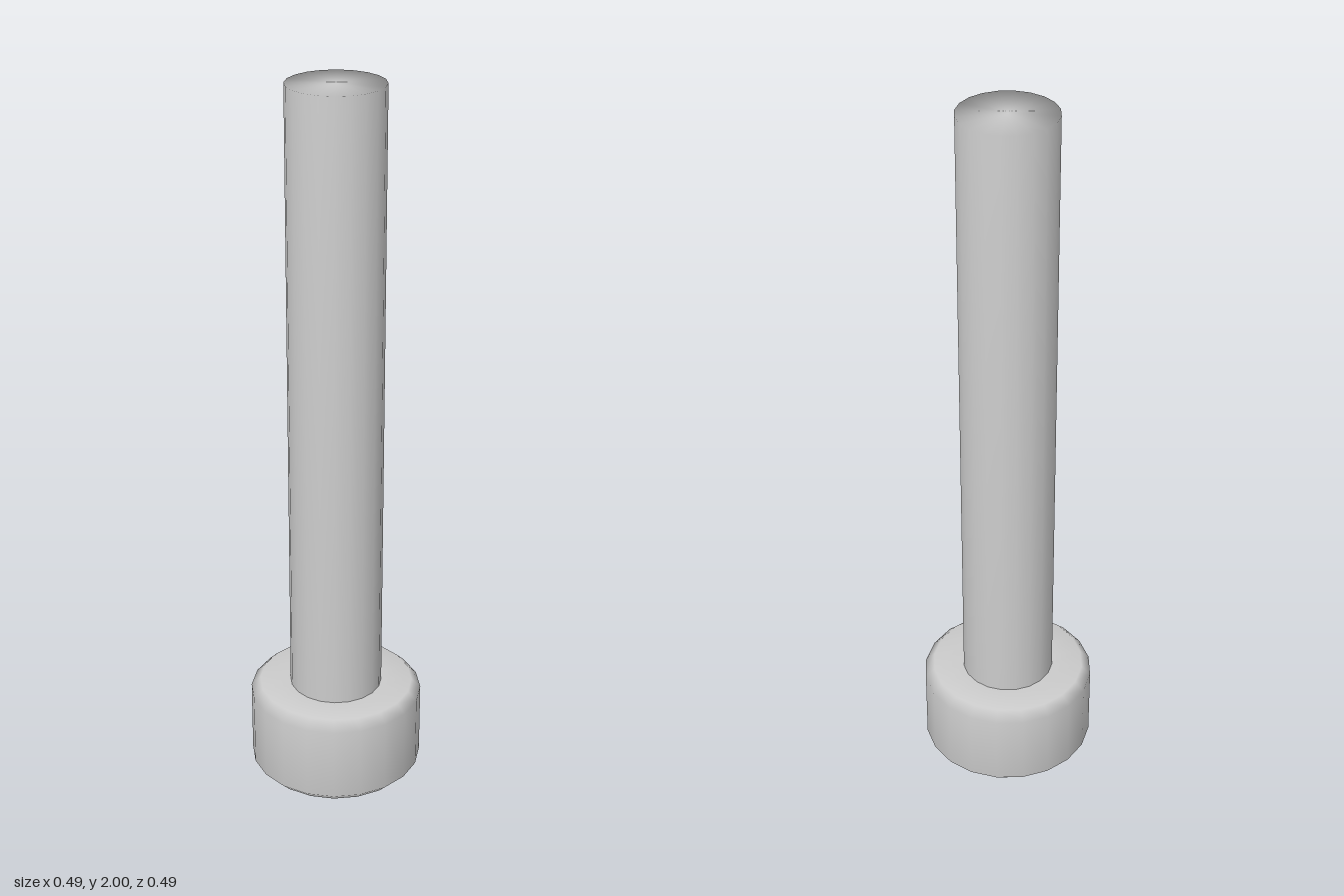
import * as THREE from 'three';

const SIDES = 20;
const SHAFT_R = 0.13, HEAD_R = 0.243, RIM_R = 0.217, HEAD_H = 0.265, CHAMFER = 0.026;
const SOCKET_R = 0.145, SOCKET_DEPTH = 0.15;

// points of a regular polygon with its first corner on +x
const polygon = (radius, sides) => Array.from({ length: sides }, (_, i) => {
  const a = (i / sides) * Math.PI * 2;
  return new THREE.Vector2(Math.cos(a) * radius, Math.sin(a) * radius);
});

const lathe = (profile) =>
  new THREE.LatheGeometry(profile.map(([r, y]) => new THREE.Vector2(r, y)), SIDES);

export function createModel() {
  const bolt = new THREE.Group();
  bolt.name = 'socketHeadBolt';
  const smooth = new THREE.MeshStandardMaterial({ color: 0xcccccc });
  const flat = new THREE.MeshStandardMaterial({ color: 0xcccccc, flatShading: true, side: THREE.DoubleSide });

  const add = (name, geometry, material, parent = bolt) => {
    const mesh = new THREE.Mesh(geometry, material);
    mesh.name = name;
    parent.add(mesh);
    return mesh;
  };

  // shaft with a softly shaded end
  add('shaft', lathe([[SHAFT_R, HEAD_H], [SHAFT_R, 2], [0, 2]]), smooth);

  // chamfered head, side and shoulder
  add('head', lathe([
    [RIM_R, 0], [HEAD_R, CHAMFER], [HEAD_R, HEAD_H - CHAMFER],
    [RIM_R, HEAD_H], [SHAFT_R, HEAD_H],
  ]), smooth);

  // underside of the head with a hexagonal opening
  const face = new THREE.Shape(polygon(RIM_R, SIDES));
  face.holes.push(new THREE.Path(polygon(SOCKET_R, 6).reverse()));
  add('headFace', new THREE.ShapeGeometry(face).rotateX(Math.PI / 2), smooth);

  // hexagonal socket: walls and floor
  const socket = new THREE.Group();
  socket.name = 'hexSocket';
  bolt.add(socket);
  const walls = new THREE.CylinderGeometry(SOCKET_R, SOCKET_R, SOCKET_DEPTH, 6, 1, true, Math.PI / 2);
  add('socketWalls', walls.translate(0, SOCKET_DEPTH / 2, 0), flat, socket);
  const floor = new THREE.CircleGeometry(SOCKET_R, 6).rotateX(Math.PI / 2);
  add('socketFloor', floor.translate(0, SOCKET_DEPTH, 0), flat, socket);

  return bolt;
}
